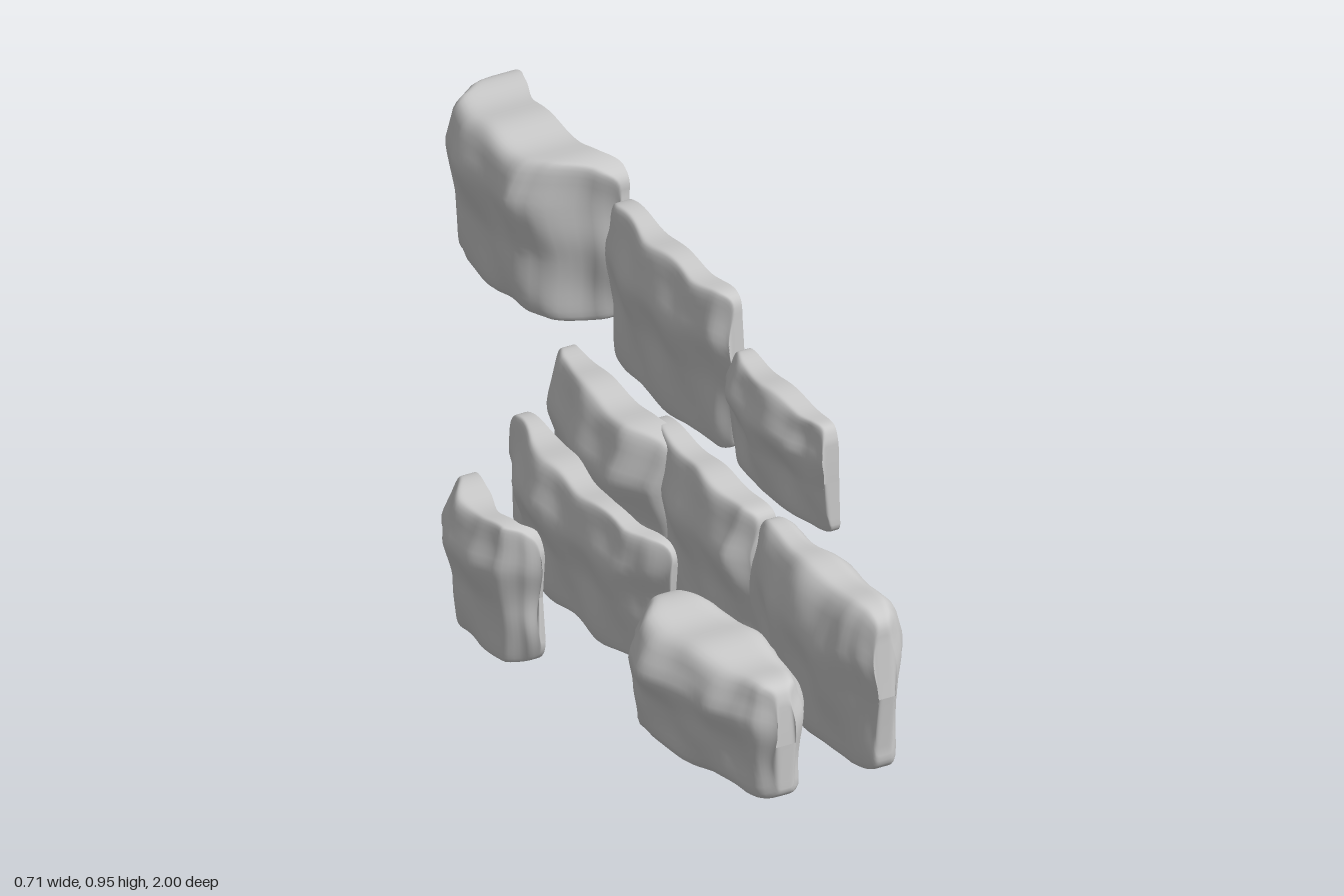
import * as THREE from 'three';

const material = new THREE.MeshStandardMaterial({ color: 0xcccccc, side: THREE.DoubleSide });
const RING = 56, STEPS = 46;

// Interpolates rows [key, a, b, ...] at key k, eased between rows
function sample(rows, k) {
  let i = 0;
  while (i < rows.length - 2 && k > rows[i + 1][0]) i++;
  const p = rows[i], q = rows[i + 1];
  const t = THREE.MathUtils.clamp((k - p[0]) / (q[0] - p[0]), 0, 1);
  const s = t * 0.5 + t * t * (3 - 2 * t) * 0.5;
  return p.slice(1).map((v, j) => v + (q[j + 1] - v) * s);
}

// Lofts a weathered stone along z. stations: [z, left x, right x];
// profile: [height 0..1, thickness]. A shell is a facing sheet open towards +x;
// otherwise the stone is a closed boulder.
function stone(name, y0, y1, stations, profile, shell, seed) {
  const za = stations[0][0], zb = stations.at(-1)[0];
  const pos = [], index = [];
  for (let i = 0; i <= STEPS; i++) {
    const d = Math.sin((i / STEPS - 0.5) * Math.PI);
    const z = (za + zb) / 2 + d * (zb - za) / 2;
    const k = Math.pow(Math.max(0, 1 - Math.pow(Math.abs(d), 9)), 1 / 9);
    const [l, r] = sample(stations, z);
    const anchor = shell ? r : (l + r) / 2;
    for (let j = 0; j <= RING; j++) {
      // a shell's section runs from its upper rim round the back to its lower rim
      const a = shell ? (0.25 + 1.5 * j / RING) * Math.PI : j % RING / RING * Math.PI * 2;
      const c = Math.cos(a), s = Math.sin(a);
      const rad = shell && c > 0 ? 1 / Math.abs(s) : Math.pow(c ** 6 + s ** 6, -1 / 6);
      const px = c * rad, py = s * rad * k;
      const h = (py + 1) / 2;
      let x = (l + r) / 2 + px * (r - l) / 2;
      x = anchor + (x - anchor) * sample(profile, h)[0];
      // chipped, rippled surface
      const bump = Math.sin(z * 28 + seed + h * 2) * Math.sin(h * 8 + seed * 2);
      x += 0.007 * bump * (shell ? (1 - px) / 2 : px);
      const y = y0 + h * (y1 - y0) + 0.006 * py * Math.sin(z * 27 + seed);
      pos.push(x, Math.max(0, y), z + 0.008 * d * d * d * Math.sin(h * 11 + seed));
    }
  }
  const row = RING + 1;
  for (let i = 0; i < STEPS; i++) for (let j = 0; j < RING; j++) {
    const a = i * row + j, b = a + 1;
    index.push(a, b, b + row, a, b + row, a + row);
  }
  const g = new THREE.BufferGeometry();
  g.setAttribute('position', new THREE.Float32BufferAttribute(pos, 3));
  g.setIndex(index);
  g.computeVertexNormals();
  const mesh = new THREE.Mesh(g, material);
  mesh.name = name;
  return mesh;
}

export function createModel() {
  const group = new THREE.Group();
  group.name = 'rockSlabs';
  const slab = [[0, 0.66], [0.12, 0.68], [0.4, 0.72], [0.7, 1], [0.88, 0.78], [1, 0.7]];
  const boulder = [[0, 0.72], [0.15, 0.7], [0.45, 0.84], [0.7, 1], [0.9, 0.76], [1, 0.55]];
  const squat = [[0, 0.82], [0.2, 0.78], [0.45, 0.84], [0.7, 1], [0.88, 0.8], [1, 0.72]];

  // Freestanding boulders at the front
  group.add(stone('squatBoulder', 0.01, 0.315, [
    [0.4, -0.06, 0], [0.44, -0.13, 0.03], [0.53, -0.21, 0.08], [0.6, -0.225, 0.1], [0.7, -0.2, 0.11],
    [0.82, -0.17, 0.09], [0.9, -0.13, 0.065], [0.95, -0.11, 0.045], [0.99, -0.06, 0]], squat, false, 1));
  group.add(stone('tallBoulder', 0.005, 0.44, [
    [0.41, 0.2, 0.28], [0.5, 0.17, 0.31], [0.6, 0.14, 0.33], [0.7, 0.13, 0.345], [0.83, 0.13, 0.36],
    [0.9, 0.15, 0.34], [0.95, 0.18, 0.31], [0.995, 0.21, 0.27]], boulder, false, 2));

  // Lower row of slabs
  group.add(stone('lowerMiddleSlab', 0.015, 0.437, [
    [-0.15, 0.22, 0.265], [-0.05, 0.18, 0.26], [0.1, 0.15, 0.26], [0.25, 0.14, 0.26],
    [0.36, 0.15, 0.265], [0.41, 0.2, 0.27]], slab, true, 3));
  group.add(stone('lowerBackSlab', 0.015, 0.437, [
    [-0.545, 0.19, 0.24], [-0.48, 0.14, 0.235], [-0.3, 0.09, 0.23], [-0.1, 0.075, 0.23],
    [0, 0.15, 0.25], [0.04, 0.22, 0.27]], slab, true, 4));
  group.add(stone('longSlab', 0.01, 0.37, [
    [-0.43, 0.01, 0.04], [-0.38, -0.02, 0.04], [-0.25, -0.08, 0.04], [-0.15, -0.105, 0.03],
    [0, -0.09, 0.01], [0.1, -0.08, 0], [0.2, -0.07, 0.01], [0.27, -0.03, 0.03], [0.33, 0.02, 0.04]], slab, true, 5));
  group.add(stone('smallSlab', 0.01, 0.37, [
    [-0.23, -0.25, -0.215], [-0.2, -0.3, -0.215], [-0.1, -0.365, -0.23], [0, -0.35, -0.26],
    [0.08, -0.32, -0.25], [0.12, -0.27, -0.22], [0.14, -0.23, -0.215]], slab, true, 6));

  // Upper row of slabs
  group.add(stone('upperFrontSlab', 0.52, 0.815, [
    [0.25, 0.22, 0.27], [0.33, 0.18, 0.27], [0.45, 0.16, 0.265], [0.6, 0.18, 0.27],
    [0.66, 0.2, 0.27], [0.715, 0.22, 0.27]], slab, true, 7));
  group.add(stone('upperMiddleSlab', 0.515, 0.94, [
    [-0.34, 0.22, 0.27], [-0.27, 0.18, 0.265], [-0.1, 0.15, 0.26], [0, 0.155, 0.26],
    [0.1, 0.16, 0.26], [0.2, 0.19, 0.27], [0.25, 0.23, 0.27]], slab, true, 8));
  // Deep end slab with returns at both ends
  group.add(stone('upperBackSlab', 0.515, 0.94, [
    [-0.995, 0.28, 0.32], [-0.95, 0.15, 0.33], [-0.91, 0.09, 0.32], [-0.82, 0.065, 0.29], [-0.58, 0.075, 0.29],
    [-0.53, 0.12, 0.3], [-0.46, 0.24, 0.33], [-0.415, 0.3, 0.33]],
    [[0, 0.84], [0.4, 0.84], [0.75, 1], [0.9, 0.92], [1, 0.88]], true, 9));
  return group;
}
